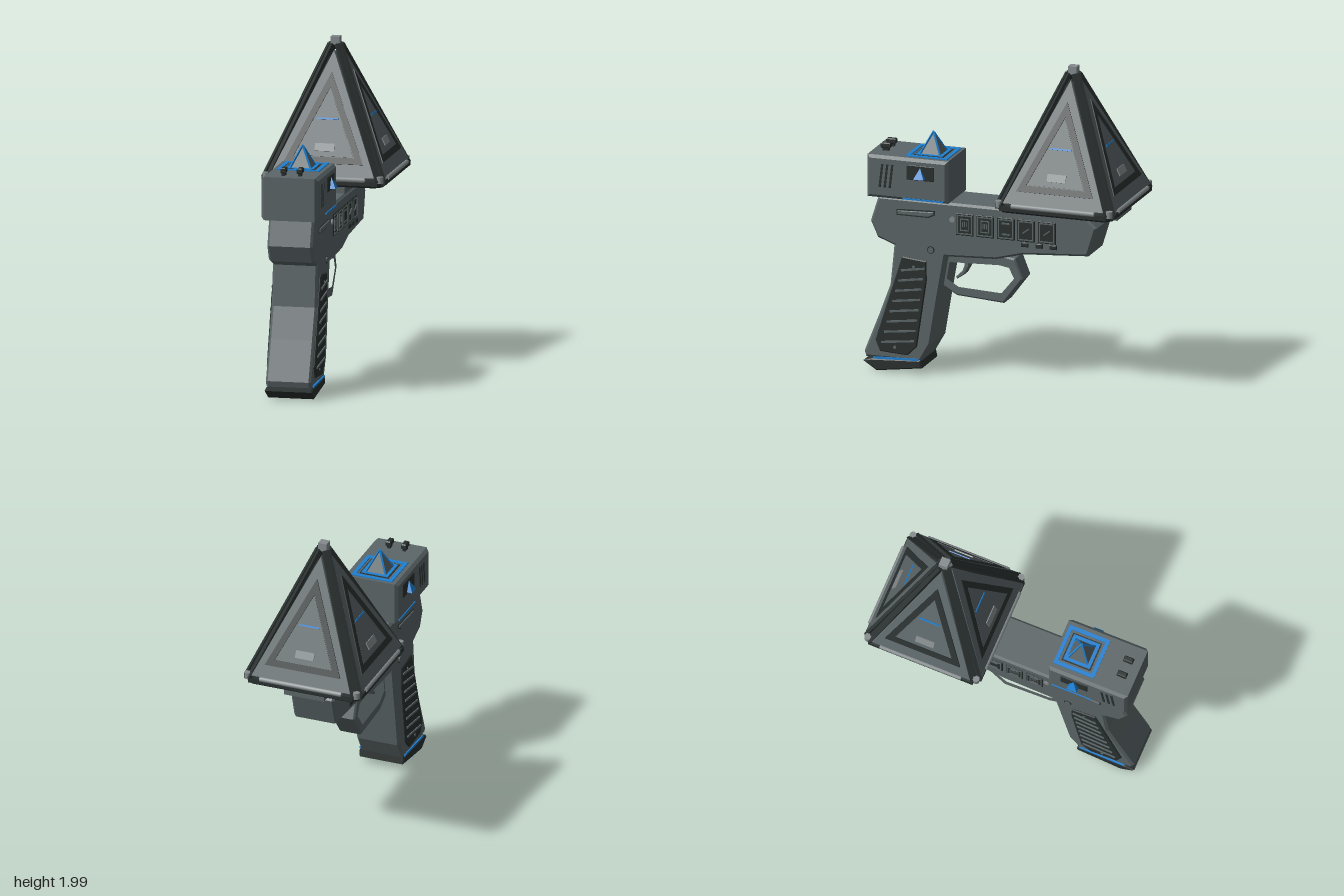
import * as THREE from 'three';

export function createModel() {
  const root = new THREE.Group();
  const mat = (name, color) => {
    const m = new THREE.MeshStandardMaterial({ color });
    m.name = name;
    return m;
  };
  const grey = mat('gunmetal grey', 0x5c6668);
  const dark = mat('dark grey', 0x2a3130);
  const light = mat('light grey', 0x858c8e);
  const blue = mat('bright blue', 0x1e80d2);

  function add(name, geo, m, parent = root) {
    const mesh = new THREE.Mesh(geo, m);
    mesh.name = name;
    parent.add(mesh);
    return mesh;
  }
  const box = (name, w, h, d, x, y, z, m, parent) =>
    add(name, new THREE.BoxGeometry(w, h, d).translate(x, y, z), m, parent);
  const shapeOf = pts => new THREE.Shape(pts.map(p => new THREE.Vector2(p[0], p[1])));
  // Solid from an outline, its depth running 0..depth along z
  function slab(shape, depth, bevel) {
    const g = new THREE.ExtrudeGeometry(shape, {
      depth: depth - 2 * bevel, bevelEnabled: bevel > 0, bevelThickness: bevel,
      bevelSize: bevel, bevelOffset: -bevel, bevelSegments: 1, curveSegments: 8,
    });
    return g.translate(0, 0, bevel);
  }
  // Side outline in (z, y), spanning x0..x1
  function profile(name, pts, x0, x1, m, bevel = 0, hole = null) {
    const s = shapeOf(pts);
    if (hole) s.holes.push(shapeOf(hole));
    return add(name, slab(s, x1 - x0, bevel).rotateY(-Math.PI / 2).translate(x1, 0, 0), m);
  }
  function both(name, pts, x0, x1, m, bevel = 0, hole = null) {
    profile(name + 'Left', pts, x0, x1, m, bevel, hole);
    profile(name + 'Right', pts, -x1, -x0, m, bevel, hole);
  }
  const rect = (z, y, w, h) => [[z - w / 2, y - h / 2], [z + w / 2, y - h / 2], [z + w / 2, y + h / 2], [z - w / 2, y + h / 2]];
  const disc = (z, y, r) => Array.from({ length: 12 }, (_, i) => [z + r * Math.cos(i * Math.PI / 6), y + r * Math.sin(i * Math.PI / 6)]);
  const stroke = (a, b, t) => {
    const dx = b[0] - a[0], dy = b[1] - a[1], k = t / 2 / Math.hypot(dx, dy);
    const nx = -dy * k, ny = dx * k;
    return [[a[0] + nx, a[1] + ny], [b[0] + nx, b[1] + ny], [b[0] - nx, b[1] - ny], [a[0] - nx, a[1] - ny]];
  };
  function pyramid(half, h) {
    const g = new THREE.ConeGeometry(half * Math.SQRT2, h, 4).rotateY(Math.PI / 4).toNonIndexed();
    g.computeVertexNormals();
    return g;
  }
  function bar(name, a, b, t, m, parent) {
    const A = new THREE.Vector3(...a), B = new THREE.Vector3(...b);
    const g = new THREE.BoxGeometry(t, t, A.distanceTo(B));
    g.applyMatrix4(new THREE.Matrix4().lookAt(B, A, new THREE.Vector3(0, 1, 0)));
    const c = A.add(B).multiplyScalar(0.5);
    return add(name, g.translate(c.x, c.y, c.z), m, parent);
  }

  // Frame and grip in one outline
  profile('frame', [
    [0.75, 1.1], [-0.57, 1.1], [-0.645, 1.03], [-0.59, 0.85], [-0.18, 0.822], [0, 0.775], [0.32, 0.76],
    [0.365, 0.5], [0.415, 0.2], [0.48, 0.085], [0.83, 0.085], [0.84, 0.12], [0.745, 0.36], [0.675, 0.55],
    [0.65, 0.8], [0.755, 0.84], [0.8, 0.94],
  ], -0.14, 0.14, grey, 0.014);
  profile('gripFoot', [[0.845, 0.06], [0.76, 0.005], [0.47, 0.045], [0.48, 0.095], [0.79, 0.078]], -0.146, 0.146, dark, 0.008);
  both('gripFootStripe', stroke([0.78, 0.085], [0.49, 0.097], 0.012), 0.138, 0.148, blue);

  // Trigger guard and trigger
  profile('triggerGuard', [[0.33, 0.775], [0.37, 0.56], [0.27, 0.505], [-0.03, 0.485], [-0.15, 0.645], [-0.1, 0.77], [0, 0.785]],
    -0.075, 0.075, grey, 0.01,
    [[0.325, 0.72], [0.345, 0.6], [0.26, 0.55], [-0.02, 0.537], [-0.108, 0.645], [-0.07, 0.72], [0, 0.732]]);
  profile('trigger', [[0.245, 0.74], [0.205, 0.74], [0.208, 0.68], [0.235, 0.63], [0.285, 0.595], [0.29, 0.612], [0.25, 0.65], [0.235, 0.69]],
    -0.035, 0.035, grey, 0.005);

  // Grip panels with slanted ridges and screws
  both('gripPanel', [[0.595, 0.738], [0.44, 0.722], [0.438, 0.6], [0.5, 0.18], [0.56, 0.12], [0.735, 0.13], [0.765, 0.2], [0.68, 0.47]],
    0.135, 0.15, dark, 0.006);
  for (let i = 0; i < 8; i++) {
    const y = 0.19 + i * 0.066, zb = 0.725 - i * 0.018, zf = 0.515 - i * 0.0095;
    both('gripRidge' + i, stroke([zb, y], [zf, y + 0.025], 0.012), 0.146, 0.157, grey);
  }
  both('upperScrew', disc(0.52, 0.68, 0.01), 0.146, 0.154, grey);
  both('lowerScrew', disc(0.64, 0.165, 0.01), 0.146, 0.154, grey);

  // Frame side controls
  [0.195, 0.065, -0.068, -0.196, -0.33].forEach((z, i) => {
    both('buttonPlate' + i, rect(z, 0.975, 0.112, 0.136), 0.136, 0.146, dark, 0.003);
    both('buttonRim' + i, rect(z, 0.975, 0.098, 0.12), 0.14, 0.15, grey, 0, rect(z, 0.975, 0.084, 0.106));
    if (i < 2) {
      both('buttonRing' + i, rect(z, 0.975, 0.056, 0.076), 0.14, 0.15, grey, 0, rect(z, 0.975, 0.044, 0.064));
      for (let k = -1; k < 2; k++) both('buttonTick' + i, rect(z + k * 0.012, 0.978, 0.006, 0.03), 0.14, 0.15, grey);
    } else if (i === 2) {
      for (const k of [-1, 1]) both('buttonDash' + k, rect(z, 0.975 + k * 0.034, 0.05, 0.01), 0.14, 0.15, grey);
    } else {
      both('buttonSlash' + i, stroke([z + 0.02, 0.96], [z - 0.02, 0.99], 0.008), 0.14, 0.15, grey);
    }
  });
  for (const z of [-0.19, -0.28, -0.37]) both('smallButton', rect(z, 0.888, 0.046, 0.028), 0.136, 0.15, dark, 0.004);
  both('slideCatchEdge', [[0.63, 0.995], [0.425, 0.995], [0.385, 1.015], [0.387, 1.042], [0.63, 1.032]], 0.136, 0.145, dark);
  both('slideCatch', [[0.622, 1.002], [0.428, 1.002], [0.393, 1.019], [0.394, 1.035], [0.622, 1.025]], 0.136, 0.153, grey, 0.003);
  both('pinEdge', disc(0.413, 0.795, 0.024), 0.136, 0.143, dark);
  both('pin', disc(0.413, 0.795, 0.018), 0.136, 0.147, grey);
  both('indicator', disc(0.275, 1.0, 0.018), 0.136, 0.148, light);

  // Rear housing
  profile('rearHousing', [[0.295, 1.1], [0.81, 1.1], [0.81, 1.365], [0.295, 1.365]], -0.175, 0.175, grey, 0.018);
  for (const x of [-0.05, 0.05]) {
    box('knobStem', 0.02, 0.03, 0.04, x, 1.37, 0.73, dark);
    const k = slab(shapeOf(rect(0, 0, 0.032, 0.06)), 0.035, 0.006).rotateX(-Math.PI / 2).translate(x, 1.38, 0.73);
    add('knob', k, dark);
  }
  for (let i = 0; i < 3; i++) {
    const z = 0.72 - i * 0.032;
    both('vent' + i, stroke([z + 0.007, 1.17], [z - 0.01, 1.315], 0.013), 0.17, 0.179, dark);
  }
  both('emblemPlate', rect(0.467, 1.28, 0.176, 0.092), 0.17, 0.181, dark, 0.003);
  both('housingStripe', rect(0.45, 1.112, 0.26, 0.01), 0.17, 0.18, blue);
  for (const s of [-1, 1]) add('sidePyramid', pyramid(0.033, 0.066).translate(s * 0.182, 1.281, 0.467), blue);

  // Top emitter: nested square frames round a small edged pyramid
  function squareRing(name, outer, inner, y, h, m) {
    const s = shapeOf(rect(0, 0, outer * 2, outer * 2));
    s.holes.push(shapeOf(rect(0, 0, inner * 2, inner * 2)));
    add(name, slab(s, h, 0).rotateX(-Math.PI / 2).translate(0, y, 0.445), m);
  }
  squareRing('outerBlueFrame', 0.132, 0.108, 1.362, 0.009, blue);
  squareRing('darkFrame', 0.094, 0.086, 1.362, 0.006, dark);
  squareRing('innerBlueFrame', 0.086, 0.066, 1.362, 0.009, blue);
  add('emitterPyramid', pyramid(0.064, 0.13).translate(0, 1.43, 0.445), grey);
  for (const sx of [-1, 1]) {
    for (const sz of [-1, 1]) bar('emitterEdge', [sx * 0.064, 1.366, 0.445 + sz * 0.064], [0, 1.498, 0.445], 0.009, blue);
  }

  // Mount and dark base beneath the large pyramid
  box('pyramidMount', 0.26, 0.055, 0.655, 0, 1.12, -0.447, grey);
  const big = new THREE.Group();
  big.name = 'largePyramid';
  big.position.z = -0.45;
  root.add(big);
  const c = 0.372, e = 0.325;
  add('pyramidBase', slab(shapeOf([[e, -c], [c, -e], [c, e], [e, c], [-e, c], [-c, e], [-c, -e], [-e, -c]]), 0.045, 0.012)
    .rotateX(-Math.PI / 2).translate(0, 1.145, 0), dark);
  box('apexBlock', 0.055, 0.055, 0.055, 0, 1.972, 0, light, big);
  const basePlate = root.getObjectByName('pyramidBase');
  big.add(basePlate);

  // Four sloping faces, each with its corner rails
  const tri = (half, s0, s1) => shapeOf([[-half, s0], [half, s0], [0, s1]]);
  for (let k = 0; k < 4; k++) {
    const side = new THREE.Group();
    side.name = 'pyramidSide' + k;
    side.rotation.y = k * Math.PI / 2;
    big.add(side);
    const face = new THREE.Group();
    face.name = 'pyramidFace';
    face.position.set(0, 1.19, 0.35);
    face.rotation.x = -0.427;
    side.add(face);
    add('facePanel', slab(tri(0.33, 0, 0.8), 0.03, 0.008), grey, face);
    const band = tri(0.245, 0.085, 0.655);
    band.holes.push(shapeOf([[-0.187, 0.125], [0.187, 0.125], [0, 0.56]]));
    add('faceBand', slab(band, 0.008, 0).translate(0, 0, 0.028), dark, face);
    add('faceInset', slab(tri(0.18, 0.13, 0.552), 0.006, 0).translate(0, 0, 0.028), grey, face);
    box('facePlate', 0.12, 0.048, 0.009, 0, 0.185, 0.036, light, face);
    box('faceStripe', 0.135, 0.01, 0.008, 0, 0.363, 0.035, blue, face);
    // Lower rail with its paler rod
    box('lowerRail', 0.68, 0.03, 0.03, 0, 1.175, 0.366, dark, side);
    add('lowerRod', new THREE.CylinderGeometry(0.016, 0.016, 0.53, 8).rotateZ(Math.PI / 2).translate(0, 1.193, 0.374), light, side);
    // Twin dark rails with a grey spine along the corner
    bar('cornerRail', [0.335, 1.18, 0.372], [0.014, 1.955, 0.034], 0.022, dark, side);
    bar('cornerRail', [0.372, 1.18, 0.335], [0.034, 1.955, 0.014], 0.022, dark, side);
    bar('cornerSpine', [0.348, 1.18, 0.348], [0.02, 1.955, 0.02], 0.02, dark, side);
    add('cornerCap', new THREE.CylinderGeometry(0.022, 0.022, 0.04, 10).translate(0.352, 1.195, 0.352), light, side);
  }
  return root;
}
